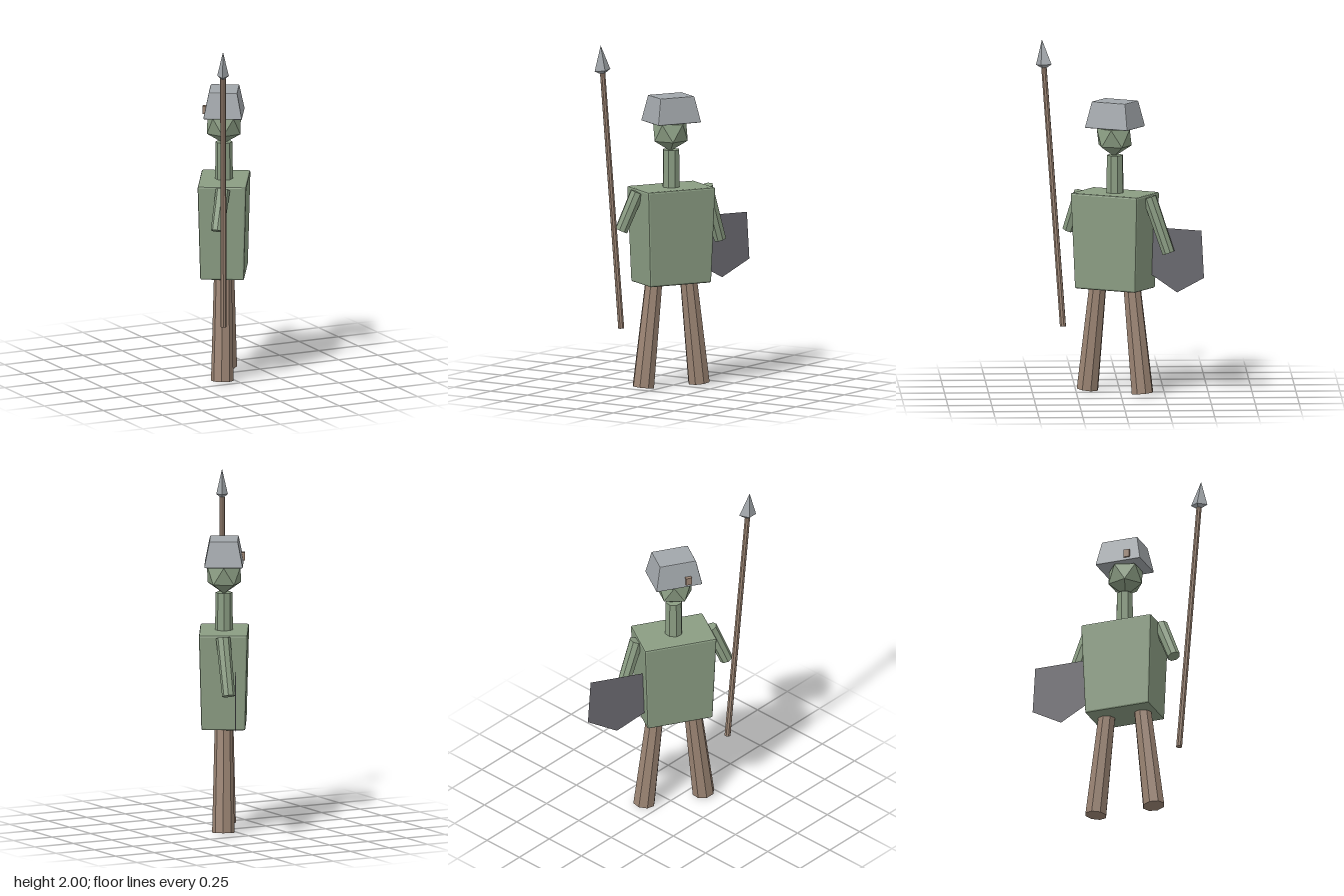
import * as THREE from 'three';
import { RoundedBoxGeometry } from 'three/addons/geometries/RoundedBoxGeometry.js';

const paint = (name, color) => Object.assign(new THREE.MeshStandardMaterial({ color }), { name });
const V = (x, y, z) => new THREE.Vector3(x, y, z);

// Flat facets for the low-poly look
function facet(geometry) {
  const g = geometry.index ? geometry.toNonIndexed() : geometry;
  g.computeVertexNormals();
  return g;
}

// Bevelled box whose width and depth change linearly from bottom to top
function taperedBox(y0, y1, bottom, top, bevel) {
  const h = y1 - y0;
  const g = new RoundedBoxGeometry(bottom[0], h, bottom[1], 1, bevel);
  const p = g.attributes.position;
  for (let i = 0; i < p.count; i++) {
    const t = p.getY(i) / h + 0.5;
    p.setX(i, p.getX(i) * THREE.MathUtils.lerp(1, top[0] / bottom[0], t));
    p.setZ(i, p.getZ(i) * THREE.MathUtils.lerp(1, top[1] / bottom[1], t));
  }
  return facet(g.translate(0, (y0 + y1) / 2, 0));
}

// Turns a y-aligned geometry so that +y points from a to b
function aim(geometry, a, b, at) {
  const q = new THREE.Quaternion().setFromUnitVectors(V(0, 1, 0), b.clone().sub(a).normalize());
  return geometry.applyQuaternion(q).translate(at.x, at.y, at.z);
}

// Eight-sided rod from a to b
function rod(a, b, ra, rb, sides = 8) {
  const g = new THREE.CylinderGeometry(rb, ra, a.distanceTo(b), sides);
  return facet(aim(g, a, b, a.clone().lerp(b, 0.5)));
}

export function createModel() {
  const green = paint('green', 0x8b9d83);
  const wood = paint('wood', 0x9c8574);
  const steel = paint('steel', 0xa2a7ab);
  const iron = paint('dark iron', 0x68676d);
  iron.side = THREE.DoubleSide;

  const figure = new THREE.Group();
  figure.name = 'guard';
  const add = (name, geometry, material) => {
    const mesh = new THREE.Mesh(geometry, material);
    mesh.name = name;
    figure.add(mesh);
  };

  // Body, neck and head
  add('torso', taperedBox(0.6, 1.15, [0.39, 0.25], [0.43, 0.278], 0.01), green);
  add('neck', rod(V(0, 1.13, 0), V(0, 1.365, 0), 0.051, 0.048), green);
  const head = new THREE.IcosahedronGeometry(0.112, 0);
  head.rotateZ(-Math.atan(2 / (1 + Math.sqrt(5)))).translate(-0.005, 1.468, 0);
  add('head', facet(head), green);

  // Helmet with a small wooden peg at the back
  add('helmet', taperedBox(1.525, 1.675, [0.275, 0.222], [0.215, 0.162], 0.006), steel);
  add('helmetPeg', new THREE.BoxGeometry(0.035, 0.045, 0.03).translate(-0.055, 1.565, -0.103), wood);

  // Legs
  for (const [side, s] of [['left', 1], ['right', -1]]) {
    add(side + 'Leg', rod(V(s * 0.177, 0.008, 0), V(s * 0.106, 0.65, 0), 0.064, 0.05), wood);
  }

  // Arms
  add('leftArm', rod(V(0.327, 0.82, -0.033), V(0.222, 1.138, 0), 0.037, 0.041), green);
  add('rightArm', rod(V(-0.308, 0.915, -0.02), V(-0.218, 1.135, 0.006), 0.038, 0.041), green);

  // Shield: a flat five-sided plate
  const shield = new THREE.Shape([[0.206, 0.955], [0.19, 0.685], [0.361, 0.59], [0.534, 0.685], [0.518, 0.955]]
    .map(([x, y]) => new THREE.Vector2(x, y)));
  add('shield', new THREE.ShapeGeometry(shield).translate(0, 0, -0.073), iron);

  // Spear shaft and four-sided point
  const foot = V(-0.326, 0.36, 0.016), tip = V(-0.446, 1.84, 0.02);
  add('spearShaft', rod(foot, tip, 0.018, 0.016), wood);
  const point = new THREE.LatheGeometry([[0, 0], [1, 0.028], [0, 0.172]]
    .map(([x, y]) => new THREE.Vector2(x, y)), 4);
  point.scale(0.05, 1, 0.033);
  add('spearPoint', facet(aim(point, foot, tip, V(-0.445, 1.829, 0.02))), steel);

  // The figure stands turned to its left
  figure.rotation.y = Math.PI / 3;
  figure.position.set(0.005, 0, 0.03);
  const model = new THREE.Group();
  model.name = 'model';
  model.add(figure);
  return model;
}
